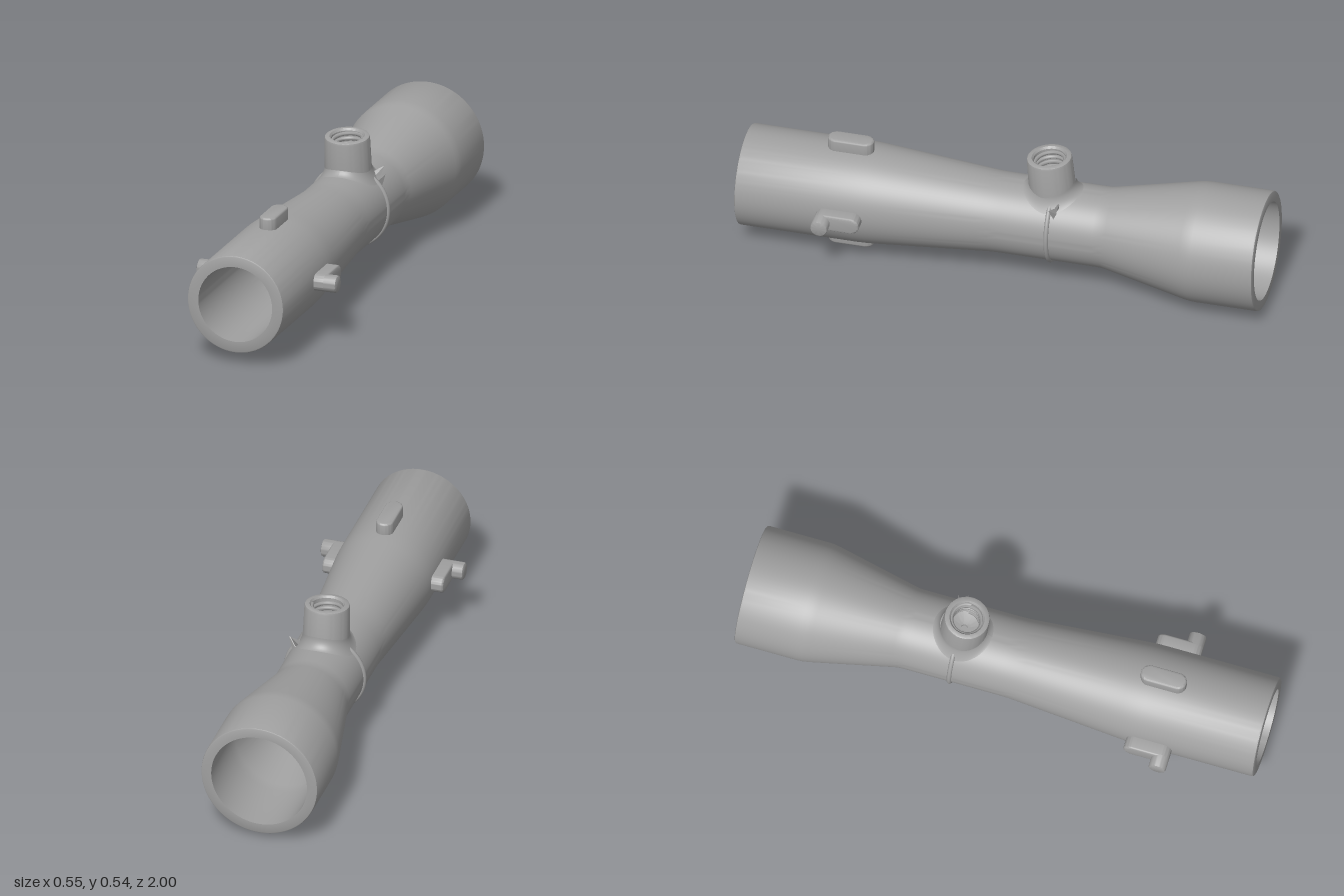
import * as THREE from 'three';
import { toCreasedNormals } from 'three/addons/utils/BufferGeometryUtils.js';

const NECK = 0.152;

// Lathe from [radius, height] pairs: outside runs upwards, inside runs downwards
function lathe(points, segments) {
  const g = new THREE.LatheGeometry(points.map(([r, h]) => new THREE.Vector2(r, h)), segments);
  return toCreasedNormals(g, 0.6);
}

// Pill-shaped boss standing on the barrel, long side along z, rising along y
function lugGeometry() {
  const r = 0.033, half = 0.055, base = 0.15, top = 0.236, bevel = 0.008;
  const s = new THREE.Shape();
  s.absarc(0, half, r, 0, Math.PI);
  s.absarc(0, -half, r, Math.PI, Math.PI * 2);
  const g = new THREE.ExtrudeGeometry(s, {
    depth: top - base - 2 * bevel, bevelThickness: bevel, bevelSize: bevel,
    bevelOffset: -bevel, bevelSegments: 3, curveSegments: 16,
  });
  g.translate(0, 0, base + bevel);
  g.rotateX(-Math.PI / 2);
  return toCreasedNormals(g, 0.6);
}

// Flared skirt that blends the port into the round neck
function filletGeometry() {
  const g = new THREE.CylinderGeometry(1, 1, 1, 64, 10, true);
  const p = g.attributes.position;
  for (let i = 0; i < p.count; i++) {
    const a = (p.getY(i) + 0.5) * Math.PI / 2;
    const r = 0.087 + 0.036 * (1 - Math.sin(a));
    const x = p.getX(i) * r;
    const surface = Math.sqrt(NECK * NECK - x * x) - 0.002;
    p.setXYZ(i, x, surface + 0.045 * (1 - Math.cos(a)), p.getZ(i) * r);
  }
  g.computeVertexNormals();
  return g;
}

// Helical thread inside the port
function threadGeometry(radius, bottom, top, turns) {
  const pts = [];
  for (let i = 0; i <= turns * 16; i++) {
    const t = i / (turns * 16), a = t * turns * Math.PI * 2;
    pts.push(new THREE.Vector3(Math.cos(a) * radius, bottom + (top - bottom) * t, Math.sin(a) * radius));
  }
  return new THREE.TubeGeometry(new THREE.CatmullRomCurve3(pts), turns * 32, 0.008, 6, false);
}

export function createModel() {
  const model = new THREE.Group();
  model.name = 'venturiCoupling';
  const metal = new THREE.MeshStandardMaterial({ color: 0xa0a0a0 });
  metal.name = 'grey metal';

  // Everything sits on a very slightly tilted axis
  const body = new THREE.Group();
  body.name = 'body';
  body.position.y = 0.245;
  body.rotation.x = 0.0067;
  model.add(body);

  const add = (name, geometry, parent = body) => {
    const m = new THREE.Mesh(geometry, metal);
    m.name = name;
    parent.add(m);
    return m;
  };

  // Hollow barrel: wide at the back, waisted neck, medium at the front
  const barrel = lathe([
    [0.187, -1], [0.222, -1], [0.2255, -0.998], [0.227, -0.993], [0.227, -0.76],
    [0.226, -0.74], [0.222, -0.715], [0.158, -0.415], [0.153, -0.39], [NECK, -0.365],
    [NECK, 0.0], [0.153, 0.04], [0.156, 0.08], [0.187, 0.47], [0.19, 0.51],
    [0.191, 0.55], [0.191, 0.992], [0.189, 0.998], [0.185, 1], [0.147, 1],
    [0.147, 0.53], [0.144, 0.47], [0.11, 0.06], [0.107, 0], [0.107, -0.38],
    [0.112, -0.42], [0.182, -0.72], [0.187, -0.76], [0.187, -1],
  ], 96);
  barrel.rotateX(Math.PI / 2);
  add('barrel', barrel);

  // Thin bead around the neck
  add('neckRing', new THREE.TorusGeometry(NECK, 0.009, 10, 96)).position.z = -0.19;

  // Four locking lugs around the front end
  const lug = lugGeometry();
  ['topLug', 'rightLug', 'bottomLug', 'leftLug'].forEach((name, i) => {
    const m = add(name, lug);
    m.position.z = 0.597;
    m.rotation.z = i * Math.PI / 2;
  });

  // Round pins on the two side lugs
  const pin = lathe([[0.033, 0.16], [0.033, 0.271], [0.031, 0.275], [0.027, 0.277], [0, 0.277]], 32);
  for (const side of [1, -1]) {
    const m = add(side > 0 ? 'leftPin' : 'rightPin', pin);
    m.position.z = 0.652;
    m.rotation.z = -side * Math.PI / 2;
  }

  // Threaded port on top, leaning a little forwards
  add('portFillet', filletGeometry()).position.z = -0.18;
  const port = new THREE.Group();
  port.name = 'port';
  port.position.z = -0.19;
  port.rotation.x = 0.085;
  body.add(port);
  add('portWall', lathe([
    [0.089, 0.11], [0.085, 0.278], [0.083, 0.285], [0.078, 0.288], [0.066, 0.288],
    [0.06, 0.28], [0.06, 0.185], [0.027, 0.175], [0.012, 0.173], [0.012, 0.16], [0, 0.16],
  ], 64), port);
  add('portThread', threadGeometry(0.058, 0.195, 0.276, 4), port);

  // Small pointed barbs beside the port
  for (const [angle, z, length, turn] of [[0.92, -0.225, 0.06, -0.35], [0.78, -0.205, 0.05, 0.3]]) {
    const g = new THREE.ConeGeometry(0.022, length, 4).toNonIndexed();
    g.scale(1, 1, 0.4);
    g.rotateX(turn);
    g.computeVertexNormals();
    const m = add('barb', g);
    m.rotation.z = angle - Math.PI / 2;
    m.position.set(Math.cos(angle) * 0.173, Math.sin(angle) * 0.173, z);
  }
  return model;
}
